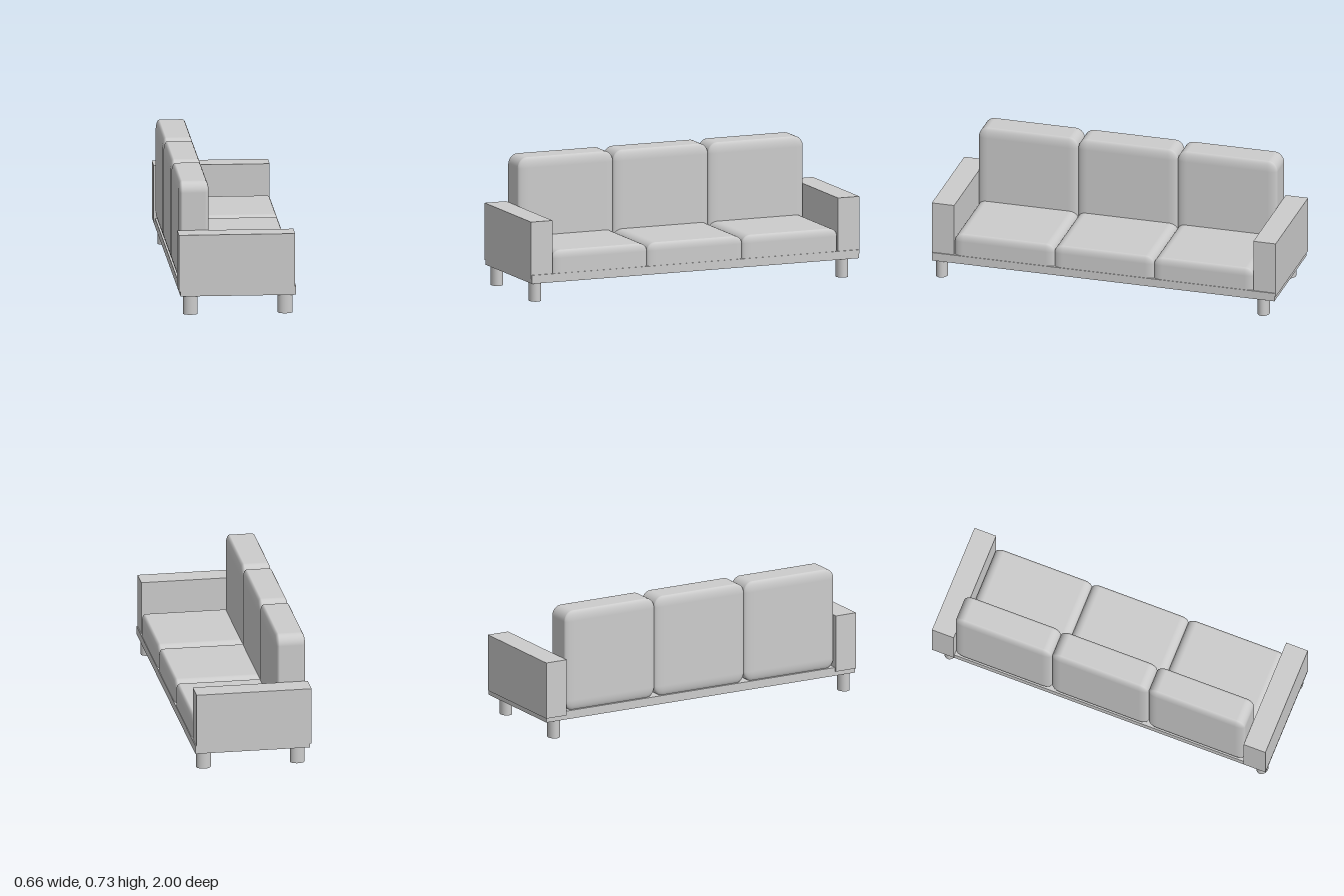
import * as THREE from 'three';
import { RoundedBoxGeometry } from 'three/addons/geometries/RoundedBoxGeometry.js';

const material = new THREE.MeshStandardMaterial({ color: 0xcccccc });

function addMesh(parent, name, geometry, x, y, z) {
  const mesh = new THREE.Mesh(geometry, material);
  mesh.name = name;
  mesh.position.set(x, y, z);
  parent.add(mesh);
  return mesh;
}

// Box given by its extents along each axis
function addBox(parent, name, [x0, x1], [y0, y1], [z0, z1]) {
  addMesh(parent, name, new THREE.BoxGeometry(x1 - x0, y1 - y0, z1 - z0),
    (x0 + x1) / 2, (y0 + y1) / 2, (z0 + z1) / 2);
}

// Rounded box with a different edge radius along each axis
function addCushion(parent, name, [x0, x1], [y0, y1], [z0, z1], [rx, ry, rz]) {
  const geometry = new RoundedBoxGeometry((x1 - x0) / rx, (y1 - y0) / ry, (z1 - z0) / rz, 6, 1);
  geometry.scale(rx, ry, rz);
  addMesh(parent, name, geometry, (x0 + x1) / 2, (y0 + y1) / 2, (z0 + z1) / 2);
}

export function createModel() {
  const sofa = new THREE.Group();
  sofa.name = 'sofa';

  // Base slab
  addBox(sofa, 'base', [-0.32, 0.328], [0.107, 0.155], [-0.994, 0.998]);

  // Armrests
  addBox(sofa, 'armLeftEnd', [-0.329, 0.322], [0.133, 0.457], [0.87, 1]);
  addBox(sofa, 'armRightEnd', [-0.329, 0.322], [0.133, 0.457], [-1, -0.87]);

  // Three seat and back cushions; the seat undersides sink into the base
  const width = 0.579;
  for (let i = -1; i <= 1; i++) {
    const z = [(i - 0.5) * width, (i + 0.5) * width];
    addCushion(sofa, 'seatCushion', [-0.18, 0.325], [0.11, 0.285], z, [0.02, 0.045, 0.05]);
    addCushion(sofa, 'backCushion', [-0.321, -0.149], [0.15, 0.73], z, [0.022, 0.06, 0.055]);
  }

  // Slightly oval legs
  for (const x of [-0.262, 0.269]) {
    for (const z of [-0.915, 0.956]) {
      const leg = new THREE.CylinderGeometry(0.0415, 0.0415, 0.11, 32);
      leg.scale(1, 1, 0.81);
      addMesh(sofa, 'leg', leg, x, 0.055, z);
    }
  }
  return sofa;
}
